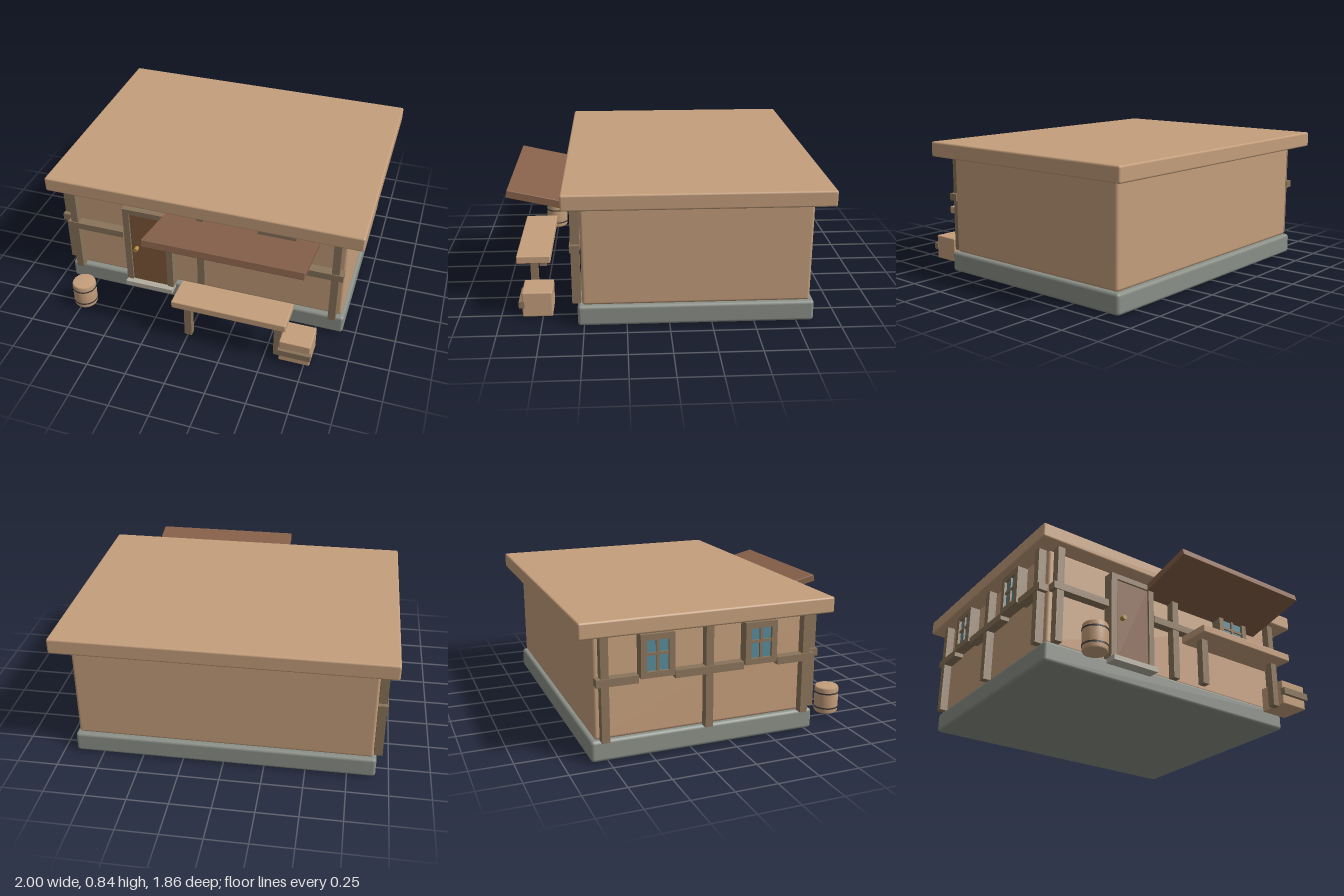
import * as THREE from 'three';
import { RoundedBoxGeometry } from 'three/addons/geometries/RoundedBoxGeometry.js';

const mat = (color) => new THREE.MeshStandardMaterial({ color });
const plaster = mat(0xc49e7b), stone = mat(0x8a8f87), timber = mat(0x8a745a), doorWood = mat(0x805a3c);
const awningWood = mat(0x87614a), glass = mat(0x568a99), stepStone = mat(0xb3aea0);
const iron = mat(0x3f3c3a), brass = mat(0xb08a3c);

// Box given by its min and max on each axis; r rounds the edges
function box(parent, name, material, [x0, x1], [y0, y1], [z0, z1], r = 0) {
  const size = [x1 - x0, y1 - y0, z1 - z0];
  const geo = r ? new RoundedBoxGeometry(...size, 2, r) : new THREE.BoxGeometry(...size);
  const mesh = new THREE.Mesh(geo, material);
  mesh.name = name;
  mesh.position.set((x0 + x1) / 2, (y0 + y1) / 2, (z0 + z1) / 2);
  parent.add(mesh);
  return mesh;
}

function group(parent, name) {
  const g = new THREE.Group();
  g.name = name;
  parent.add(g);
  return g;
}

// Framed window with four panes, facing +z from the wall plane z = 0
function addWindow(parent, cx, y0, y1, w) {
  const g = group(parent, 'window');
  const f = 0.035, h = w / 2, m = 0.008, cy = (y0 + y1) / 2 + 0.01;
  for (const s of [-1, 1]) {
    const a = cx + s * h, b = cx + s * (h - f);
    box(g, 'windowJamb', timber, [Math.min(a, b), Math.max(a, b)], [y0, y1], [-0.01, 0.07]);
  }
  for (const y of [y0, y1 - f]) box(g, 'windowRail', timber, [cx - h + f, cx + h - f], [y, y + f], [-0.01, 0.07]);
  box(g, 'windowGlass', glass, [cx - h + f, cx + h - f], [y0 + f, y1 - f], [-0.01, 0.052]);
  box(g, 'mullion', timber, [cx - m, cx + m], [y0 + f, y1 - f], [0.04, 0.064]);
  box(g, 'glazingBar', timber, [cx - h + f, cx + h - f], [cy - m, cy + m], [0.04, 0.063]);
}

// Upright posts and a broken horizontal rail on a wall facing +z
function addTimbers(parent, posts, rails) {
  for (const x of posts) box(parent, 'wallPost', timber, [x - 0.023, x + 0.023], [0.13, 0.745], [0.005, 0.056]);
  for (const r of rails) box(parent, 'wallRail', timber, r, [0.457, 0.502], [0.003, 0.062]);
}

function cylinder(parent, name, material, r, h, x, y, z) {
  const mesh = new THREE.Mesh(new THREE.CylinderGeometry(r, r, h, 32), material);
  mesh.name = name;
  mesh.position.set(x, y, z);
  parent.add(mesh);
  return mesh;
}

export function createModel() {
  const model = new THREE.Group();
  model.name = 'cottage';

  // Main masses
  box(model, 'foundation', stone, [-0.92, 0.92], [0.005, 0.132], [-0.85, 0.537], 0.02);
  box(model, 'walls', plaster, [-0.9, 0.9], [0.13, 0.742], [-0.825, 0.51], 0.018);
  box(model, 'roofSlab', plaster, [-1, 1], [0.745, 0.84], [-0.925, 0.61], 0.012);

  // Front wall
  const front = group(model, 'frontWall');
  front.position.z = 0.512;
  addTimbers(front, [-0.85, 0, 0.847], [[-0.895, -0.515], [-0.175, 0.355], [0.605, 0.895]]);
  addWindow(front, 0.483, 0.445, 0.73, 0.235);

  // Wall on the model's right, with two windows
  const side = group(model, 'sideWall');
  side.position.set(-0.898, 0, -0.157);
  side.rotation.y = -Math.PI / 2;
  addTimbers(side, [-0.617, 0, 0.617], [[-0.667, -0.425], [-0.21, 0.21], [0.425, 0.667]]);
  for (const x of [-0.315, 0.315]) addWindow(side, x, 0.48, 0.73, 0.2);

  // Door
  const door = group(model, 'door');
  box(door, 'doorPanel', doorWood, [-0.462, -0.223], [0.13, 0.66], [0.49, 0.575], 0.008);
  box(door, 'doorJamb', timber, [-0.503, -0.462], [0.13, 0.695], [0.5, 0.582]);
  box(door, 'doorJamb', timber, [-0.223, -0.185], [0.13, 0.695], [0.5, 0.582]);
  box(door, 'doorLintel', timber, [-0.462, -0.223], [0.66, 0.695], [0.5, 0.582]);
  box(door, 'doorStep', stepStone, [-0.503, -0.185], [0.1, 0.132], [0.5, 0.614]);
  const knob = cylinder(door, 'doorKnob', brass, 0.014, 0.035, -0.423, 0.4, 0.59);
  knob.rotation.x = Math.PI / 2;

  // Awning, rising away from the wall
  const awning = box(model, 'awning', awningWood, [-0.23, 0.73], [0.693, 0.739], [0.507, 0.937], 0.004);
  awning.rotation.x = -0.224;

  // Bench
  const bench = group(model, 'bench');
  box(bench, 'benchTop', plaster, [-0.073, 0.636], [0.284, 0.334], [0.705, 0.91], 0.008);
  for (const x of [0, 0.573]) box(bench, 'benchLeg', timber, [x - 0.023, x + 0.023], [0, 0.286], [0.785, 0.83]);

  // Crate with a front slat
  const crate = group(model, 'crate');
  box(crate, 'crateBody', plaster, [0.592, 0.785], [0.006, 0.163], [0.69, 0.87], 0.008);
  box(crate, 'crateSlat', timber, [0.589, 0.79], [0.065, 0.107], [0.857, 0.89]);

  // Barrel with hoops
  const barrel = group(model, 'barrel');
  barrel.position.set(-0.732, 0, 0.755);
  const profile = [[0, 0.018], [0.068, 0.018], [0.074, 0.028], [0.075, 0.103], [0.074, 0.178], [0.068, 0.188], [0, 0.188]];
  const body = new THREE.Mesh(new THREE.LatheGeometry(profile.map((p) => new THREE.Vector2(...p)), 32), plaster);
  body.name = 'barrelBody';
  barrel.add(body);
  for (const y of [0.053, 0.15]) cylinder(barrel, 'barrelHoop', iron, 0.077, 0.009, 0, y, 0);

  return model;
}
